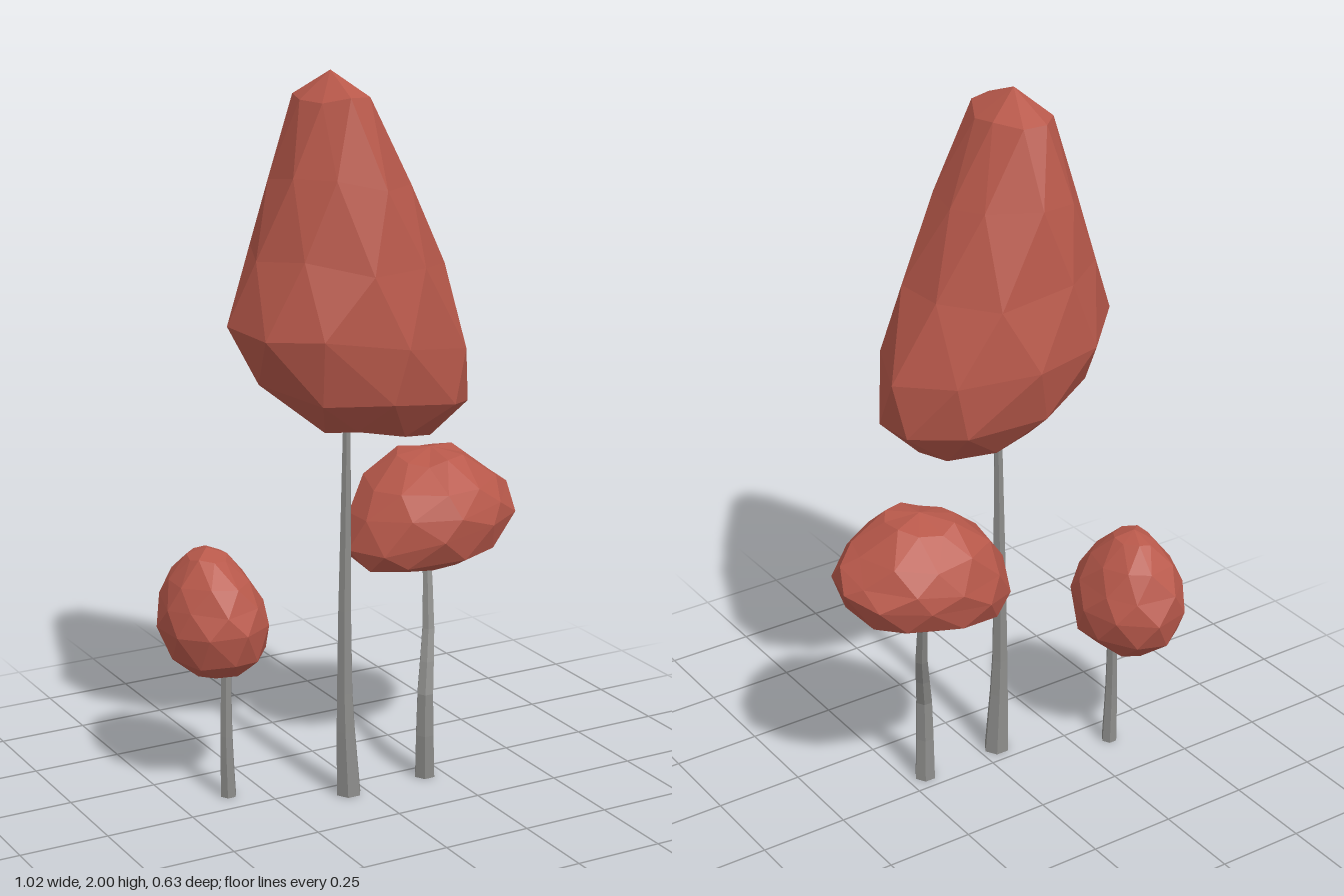
import * as THREE from 'three';

// Small seeded generator for the uneven facets
function seeded(seed) {
  return () => {
    seed = (seed * 16807) % 2147483647;
    return seed / 2147483647;
  };
}

// Skin over rings of points, bottom to top, closed by one point at each end.
// Staggered rings are turned by half a side on every second ring.
function loft(rings, bottom, top, staggered) {
  const sides = rings[0].length;
  const tris = [];
  for (let i = 0; i < sides; i++) {
    const j = (i + 1) % sides;
    const lastRing = rings[rings.length - 1];
    tris.push(bottom, rings[0][j], rings[0][i], top, lastRing[i], lastRing[j]);
    for (let r = 0; r < rings.length - 1; r++) {
      const a = rings[r][i], b = rings[r][j], c = rings[r + 1][i], d = rings[r + 1][j];
      if (staggered && r % 2) tris.push(a, b, d, a, d, c);
      else tris.push(a, b, c, b, d, c);
    }
  }
  const geometry = new THREE.BufferGeometry().setFromPoints(tris);
  geometry.computeVertexNormals();
  return geometry;
}

// Bent, tapering six-sided trunk along a curve
function trunkGeometry(points, baseRadius, tipRadius) {
  const curve = new THREE.CatmullRomCurve3(points.map((p) => new THREE.Vector3(...p)));
  const steps = 6;
  const rings = [];
  for (let s = 0; s <= steps; s++) {
    const centre = curve.getPoint(s / steps);
    const radius = THREE.MathUtils.lerp(baseRadius, tipRadius, s / steps);
    rings.push(Array.from({ length: 6 }, (_, i) => {
      const a = (i / 6) * Math.PI * 2;
      return new THREE.Vector3(Math.cos(a) * radius, 0, -Math.sin(a) * radius).add(centre);
    }));
  }
  return loft(rings, curve.getPoint(0), curve.getPoint(1), false);
}

// Faceted egg: a rounded underside, and an upper half that tapers, leans and ends more or less bluntly
function crownGeometry({ centre, radii, up, down, taperX, taperZ, blunt, lean, slope, sides, seed }) {
  const random = seeded(seed);
  const [cx, cy, cz] = centre;
  const [rx, rz] = radii;
  const grow = 1 + 0.7 * (1 / Math.cos(Math.PI / sides) - 1);
  const levels = [-0.9, -0.57, 0, 0.29, 0.6, 0.9];
  const rings = levels.map((t, r) => {
    const rise = Math.max(t, 0);
    const power = t < 0 ? 2.4 : blunt;
    const width = grow * (1 - Math.abs(t) ** power) ** (1 / power);
    return Array.from({ length: sides }, (_, i) => {
      const a = ((i + (r % 2) / 2 + (random() - 0.5) * 0.3) / sides) * Math.PI * 2;
      const k = width * (0.98 + random() * 0.04);
      const dx = Math.cos(a) * rx * k * (1 - taperX * rise);
      const dz = -Math.sin(a) * rz * k * (1 - taperZ * rise);
      const bump = (random() - 0.5) * 0.1 * rx;
      const y = cy + t * (t < 0 ? down : up) + slope * (1 - rise) * dx + bump;
      return new THREE.Vector3(cx + lean * t + dx, y, cz + dz);
    });
  });
  const bottom = new THREE.Vector3(cx - lean, cy - down, cz);
  const top = new THREE.Vector3(cx + lean, cy + up, cz);
  return loft(rings, bottom, top, true);
}

export function createModel() {
  const foliage = new THREE.MeshStandardMaterial({ color: 0xb9594b, flatShading: true });
  foliage.name = 'red foliage';
  const bark = new THREE.MeshStandardMaterial({ color: 0x8c8c8a, flatShading: true });
  bark.name = 'grey bark';

  const model = new THREE.Group();
  model.name = 'treeCluster';

  function addTree(name, trunkShape, crownShape) {
    const tree = new THREE.Group();
    tree.name = name;
    const trunk = new THREE.Mesh(trunkGeometry(...trunkShape), bark);
    trunk.name = 'trunk';
    const crown = new THREE.Mesh(crownGeometry(crownShape), foliage);
    crown.name = 'crown';
    tree.add(trunk, crown);
    model.add(tree);
  }

  // Tall tree with a long blunt crown
  addTree('tallTree',
    [[[-0.052, 0, 0.06], [-0.064, 0.3, 0.06], [-0.056, 1.1, 0.06]], 0.037, 0.011],
    { centre: [-0.042, 1.31, 0.057], radii: [0.32, 0.25], up: 0.69, down: 0.285,
      taperX: 0.72, taperZ: 0.33, blunt: 4, lean: -0.06, slope: -0.11, sides: 9, seed: 11 });

  // Wide tree with a flattened, tilted crown
  addTree('wideTree',
    [[[0.195, 0, 0.055], [0.192, 0.25, 0.06], [0.23, 0.42, 0.01], [0.256, 0.64, -0.047]], 0.031, 0.013],
    { centre: [0.258, 0.71, -0.05], radii: [0.245, 0.203], up: 0.215, down: 0.11,
      taperX: 0.15, taperZ: -0.1, blunt: 2, lean: 0.01, slope: 0.14, sides: 10, seed: 23 });

  // Small tree with an egg-shaped crown
  addTree('smallTree',
    [[[-0.35, 0, -0.085], [-0.355, 0.18, -0.083], [-0.348, 0.42, -0.09]], 0.023, 0.014],
    { centre: [-0.367, 0.5, -0.135], radii: [0.144, 0.175], up: 0.21, down: 0.15,
      taperX: 0.2, taperZ: 0.15, blunt: 2, lean: -0.015, slope: 0.03, sides: 9, seed: 37 });

  return model;
}
